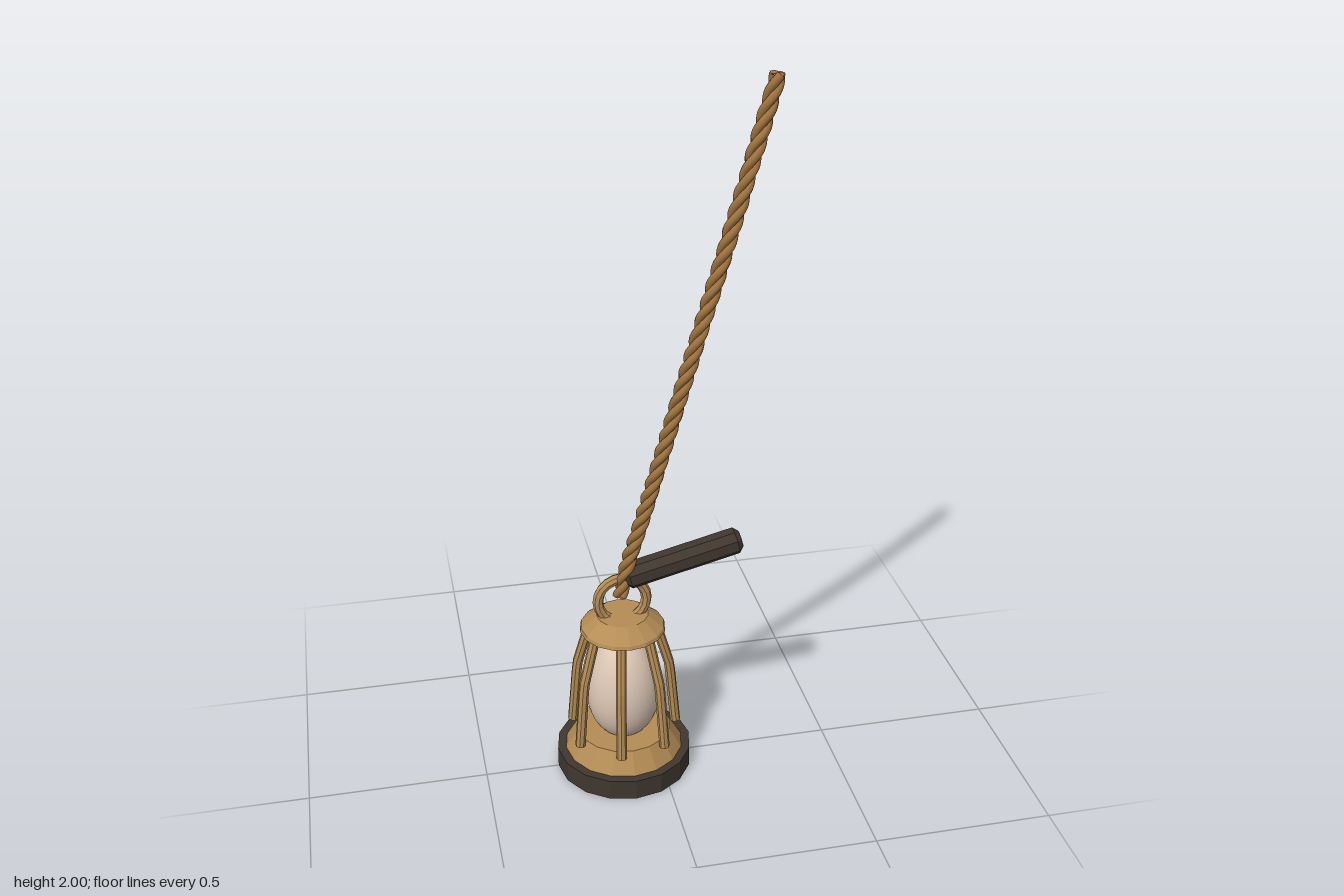
import * as THREE from 'three';

const mat = (name, color, flatShading = false) => {
  const m = new THREE.MeshStandardMaterial({ color, flatShading });
  m.name = name;
  return m;
};

export function createModel() {
  const model = new THREE.Group();
  model.name = 'lantern';
  const brass = mat('brass', 0xb48c55, true);
  const dark = mat('darkWood', 0x40372f, true);
  const glass = mat('paleGlass', 0xdcc6b4);
  const rope = mat('rope', 0xa0743f);

  const V = (x, y, z = 0) => new THREE.Vector3(x, y, z);
  const add = (name, geometry, material, parent = model) => {
    const mesh = new THREE.Mesh(geometry, material);
    mesh.name = name;
    parent.add(mesh);
    return mesh;
  };
  const lathe = (pts, sides) =>
    new THREE.LatheGeometry(pts.map(([r, y]) => new THREE.Vector2(r, y)), sides);

  // Lamp body, standing off centre beneath the rope
  const lamp = new THREE.Group();
  lamp.name = 'lamp';
  lamp.position.x = -0.1;
  model.add(lamp);

  add('base', lathe([[0, 0], [0.192, 0], [0.192, 0.06], [0, 0.06]], 16), dark, lamp);
  add('collar', lathe([[0.168, 0.06], [0.133, 0.12], [0, 0.12]], 16), brass, lamp);
  add('cap', lathe([[0, 0.45], [0.12, 0.45], [0.117, 0.46], [0.072, 0.495], [0, 0.495]], 16), brass, lamp);

  // Egg-shaped globe, fuller towards the bottom
  const globe = [];
  for (let i = 0; i <= 20; i++) {
    const a = -Math.PI / 2 + (Math.PI * i) / 20;
    globe.push([Math.max(0, 0.105 * Math.cos(a) * (1 - 0.08 * Math.sin(a))), 0.258 + 0.165 * Math.sin(a)]);
  }
  add('globe', lathe(globe, 28), glass, lamp);

  // Seven bent cage bars
  const barPath = new THREE.CurvePath();
  const bend = [V(0.152, 0.112), V(0.134, 0.31), V(0.092, 0.458)];
  barPath.add(new THREE.LineCurve3(bend[0], bend[1]));
  barPath.add(new THREE.LineCurve3(bend[1], bend[2]));
  const barGeo = new THREE.TubeGeometry(barPath, 12, 0.0145, 8);
  const endGeo = new THREE.CircleGeometry(0.0145, 8).rotateX(Math.PI / 2);
  for (let i = 0; i < 7; i++) {
    const bar = new THREE.Group();
    bar.name = 'cageBar';
    bar.rotation.y = (i * Math.PI * 2) / 7;
    lamp.add(bar);
    add('barRod', barGeo, brass, bar);
    add('barEnd', endGeo, brass, bar).position.copy(bend[0]);
  }

  // Hanging ring
  add('ring', new THREE.TorusGeometry(0.068, 0.015, 8, 20), brass, lamp).position.y = 0.54;

  // Tilted handle with chamfered edges and ends
  const h = 0.021, c = 0.011, len = 0.31;
  const section = new THREE.Shape([
    [-h, -h + c], [-h + c, -h], [h - c, -h], [h, -h + c],
    [h, h - c], [h - c, h], [-h + c, h], [-h, h - c],
  ].map(([x, y]) => new THREE.Vector2(x, y)));
  const gripGeo = new THREE.ExtrudeGeometry(section, {
    depth: len, bevelEnabled: true, bevelThickness: 0.014, bevelSize: 0.013, bevelSegments: 1,
  }).translate(0, 0, -len / 2).rotateY(Math.PI / 2);
  const grip = add('handle', gripGeo, dark);
  grip.position.set(0.07, 0.652, 0);
  grip.rotation.z = 0.245;

  // Twisted rope: three strands wound around a gentle curve
  const core = new THREE.CatmullRomCurve3([
    V(-0.105, 0.555, 0), V(-0.086, 0.66, 0.012), V(-0.052, 0.8, 0.035), V(0.046, 1.2, 0.08),
    V(0.155, 1.6, 0.1), V(0.268, 1.995, 0.092),
  ]);
  const ropeLength = core.getLength();
  const pitch = 0.145;
  for (let s = 0; s < 3; s++) {
    const pts = [];
    for (let i = 0; i <= 130; i++) {
      const t = i / 130;
      const dir = core.getTangentAt(t);
      const side = V(0, 0, 1).cross(dir).normalize();
      const out = dir.clone().cross(side);
      const a = (t * ropeLength / pitch + s / 3) * Math.PI * 2;
      pts.push(core.getPointAt(t)
        .addScaledVector(side, 0.0105 * Math.cos(a))
        .addScaledVector(out, 0.0105 * Math.sin(a)));
    }
    const strand = new THREE.CatmullRomCurve3(pts);
    add('ropeStrand', new THREE.TubeGeometry(strand, 260, 0.0115, 8), rope);
    // Rounded strand ends
    for (const p of [pts[0], pts[130]]) {
      const tip = add('strandTip', new THREE.SphereGeometry(0.0115, 8, 6), rope);
      tip.position.copy(p);
      tip.scale.y = 0.4;
    }
  }
  return model;
}
